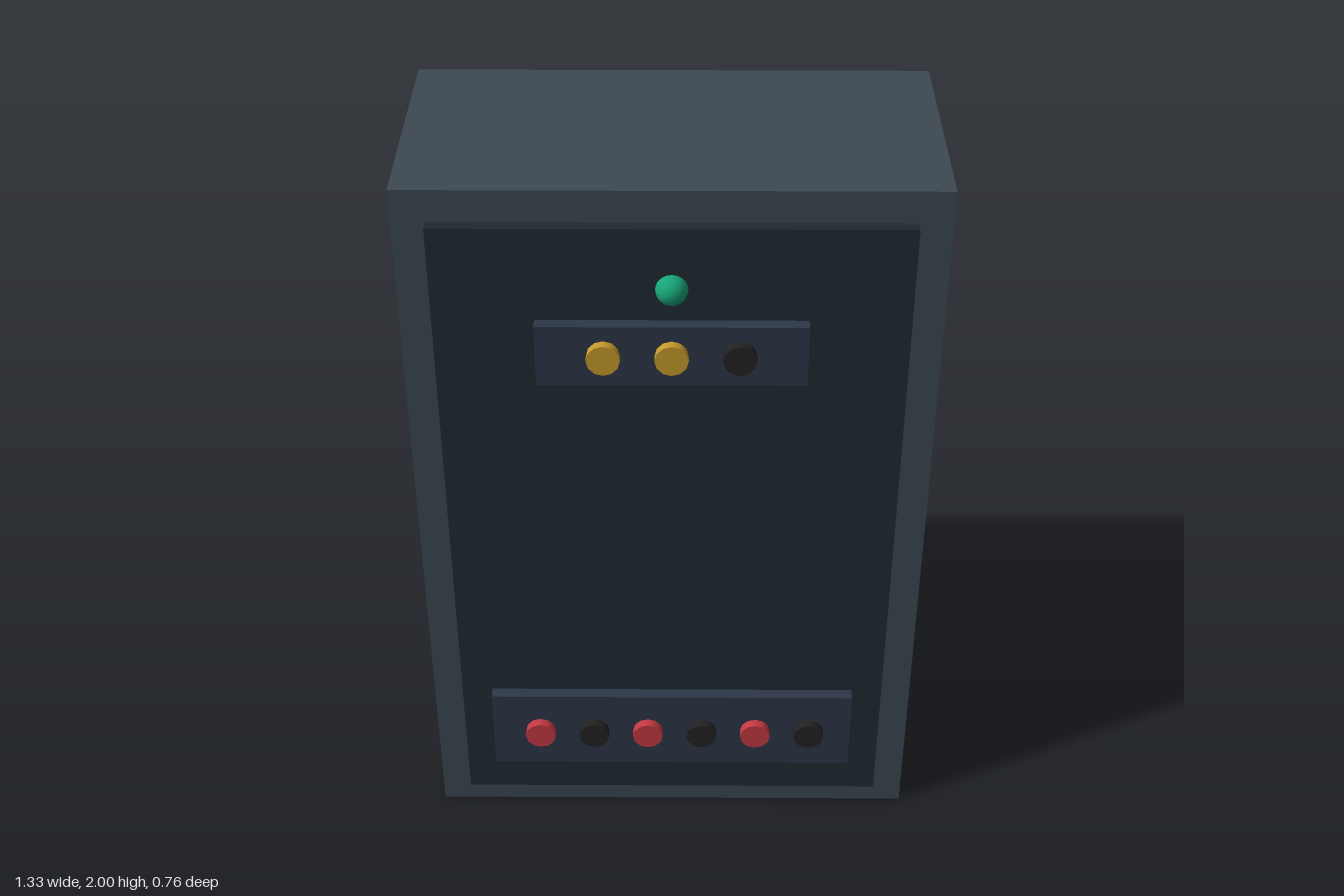
import * as THREE from 'three';

const mat = (color) => new THREE.MeshStandardMaterial({ color });

export function createModel() {
  const model = new THREE.Group();
  const bodyMat = mat(0x3d4852), panelMat = mat(0x1f2933), plateMat = mat(0x2d3748);
  const black = mat(0x222222), yellow = mat(0xc69a2c), red = mat(0xc53a43), green = mat(0x18a578);

  const add = (name, geometry, material, x, y, z) => {
    const mesh = new THREE.Mesh(geometry, material);
    mesh.name = name;
    mesh.position.set(x, y, z);
    model.add(mesh);
    return mesh;
  };
  // box given by its size, centre height and back and front depth
  const slab = (name, w, h, y, z0, z1, material) =>
    add(name, new THREE.BoxGeometry(w, h, z1 - z0), material, 0, y, (z0 + z1) / 2);

  // Cabinet and raised front panel
  slab('cabinet', 1.333, 2, 1, -0.38, 0.287, bodyMat);
  slab('frontPanel', 1.167, 1.833, 1, 0.287, 0.32, panelMat);

  // Plates carrying the buttons
  slab('upperPlate', 0.667, 0.167, 1.583, 0.32, 0.353, plateMat);
  slab('lowerPlate', 1, 0.25, 0.335, 0.32, 0.353, plateMat);

  // Rows of round buttons
  const buttonGeo = new THREE.CylinderGeometry(0.0417, 0.0417, 0.05, 12).rotateX(Math.PI / 2);
  const row = (name, materials, x0, step, y) => materials.forEach((m, i) =>
    add(name + (i + 1), buttonGeo, m, x0 + i * step, y, 0.353));
  row('upperButton', [yellow, yellow, black], -0.167, 0.167, 1.585);
  row('lowerButton', [red, black, red, black, red, black], -0.367, 0.15, 0.335);

  // Indicator light, half sunk in the panel
  add('indicatorLight', new THREE.SphereGeometry(0.04, 16, 12), green, 0, 1.753, 0.32);

  return model;
}
